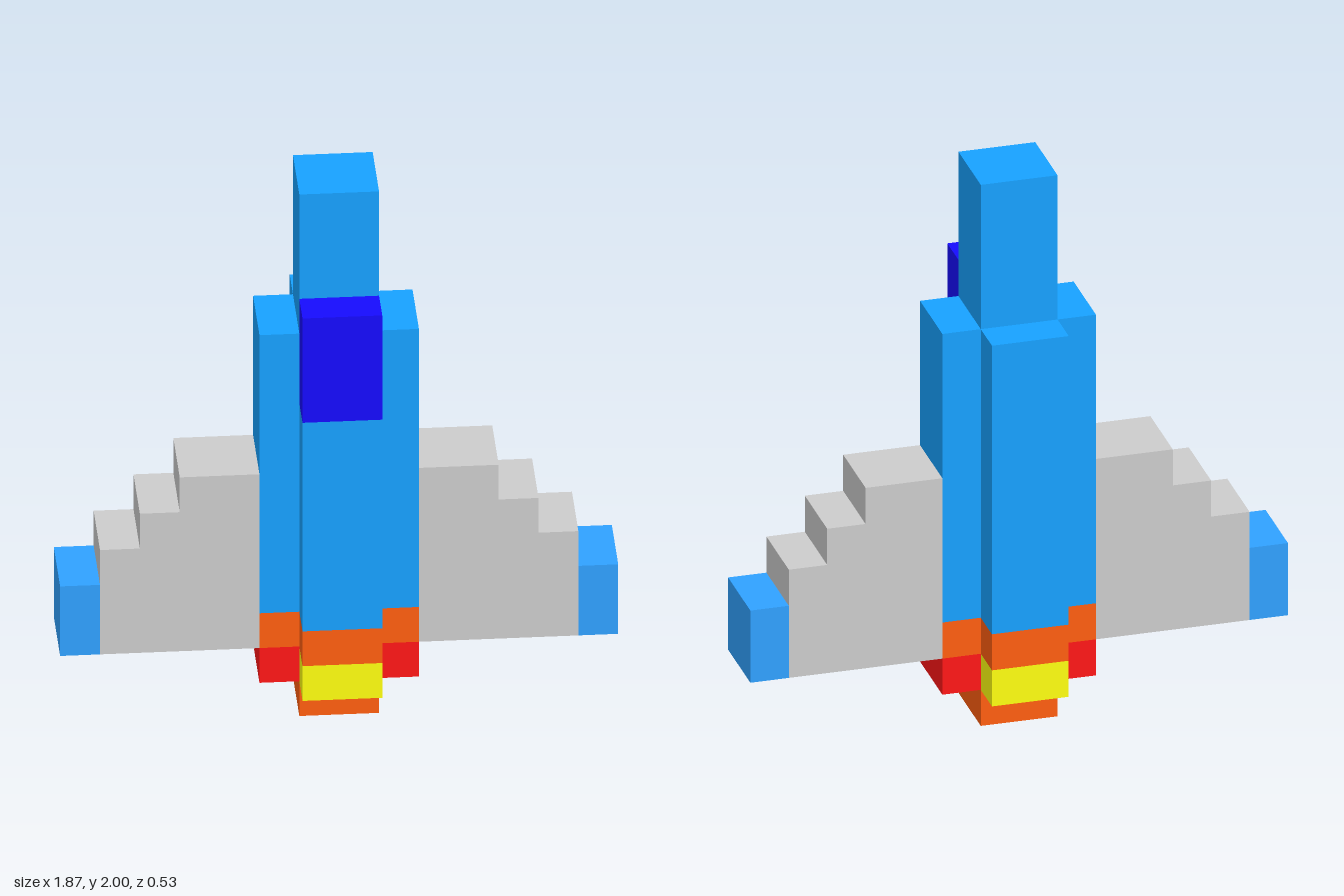
import * as THREE from 'three';

const U = 2 / 15; // one block unit

const paint = (color) => new THREE.MeshStandardMaterial({ color });
const blue = paint(0x17a1ff);
const tipBlue = paint(0x30a1ff);
const navy = paint(0x160bfd);
const orange = paint(0xff5e10);
const red = paint(0xff1717);
const yellow = paint(0xffff10);
const grey = paint(0xcccccc);

// Box given by its limits in block units
function block(name, material, [x0, x1], [y0, y1], [z0, z1]) {
  const geometry = new THREE.BoxGeometry((x1 - x0) * U, (y1 - y0) * U, (z1 - z0) * U);
  geometry.translate((x0 + x1) * U / 2, (y0 + y1) * U / 2, (z0 + z1) * U / 2);
  const mesh = new THREE.Mesh(geometry, material);
  mesh.name = name;
  return mesh;
}

// Stepped wing outline, extruded through its thickness
function wing(side) {
  const outline = [[2, 2], [6, 2], [6, 5], [5, 5], [5, 6], [4, 6], [4, 7], [2, 7]];
  const shape = new THREE.Shape(outline.map(([x, y]) => new THREE.Vector2(side * x * U, y * U)));
  const geometry = new THREE.ExtrudeGeometry(shape, { depth: 2 * U, bevelEnabled: false });
  geometry.translate(0, 0, -U);
  const mesh = new THREE.Mesh(geometry, grey);
  mesh.name = side > 0 ? 'leftWing' : 'rightWing';
  return mesh;
}

export function createModel() {
  const model = new THREE.Group();
  model.name = 'rocketPlane';

  // Central column with the main nozzle below
  model.add(block('core', blue, [-1, 1], [1, 15], [-1, 1]));
  model.add(block('mainNozzle', orange, [-1, 1], [0, 1], [-1, 1]));

  // Four boosters around the core, each with an orange band and a nozzle
  ['front', 'left', 'back', 'right'].forEach((place, i) => {
    const booster = new THREE.Group();
    booster.name = place + 'Booster';
    const top = place === 'front' ? 9 : 11;
    booster.add(
      block('boosterBody', blue, [-1, 1], [3, top], [1, 2]),
      block('boosterBand', orange, [-1, 1], [2, 3], [1, 2]),
      block('boosterNozzle', i % 2 ? red : yellow, [-1, 1], [1, 2], [1, 2])
    );
    booster.rotation.y = i * Math.PI / 2;
    model.add(booster);
  });

  // Cockpit on top of the front booster
  model.add(block('cockpit', navy, [-1, 1], [9, 12], [1, 2]));

  // Wings with coloured tips
  for (const side of [1, -1]) {
    model.add(wing(side));
    const span = side > 0 ? [6, 7] : [-7, -6];
    model.add(block(side > 0 ? 'leftWingTip' : 'rightWingTip', tipBlue, span, [2, 4], [-1, 1]));
  }
  return model;
}
